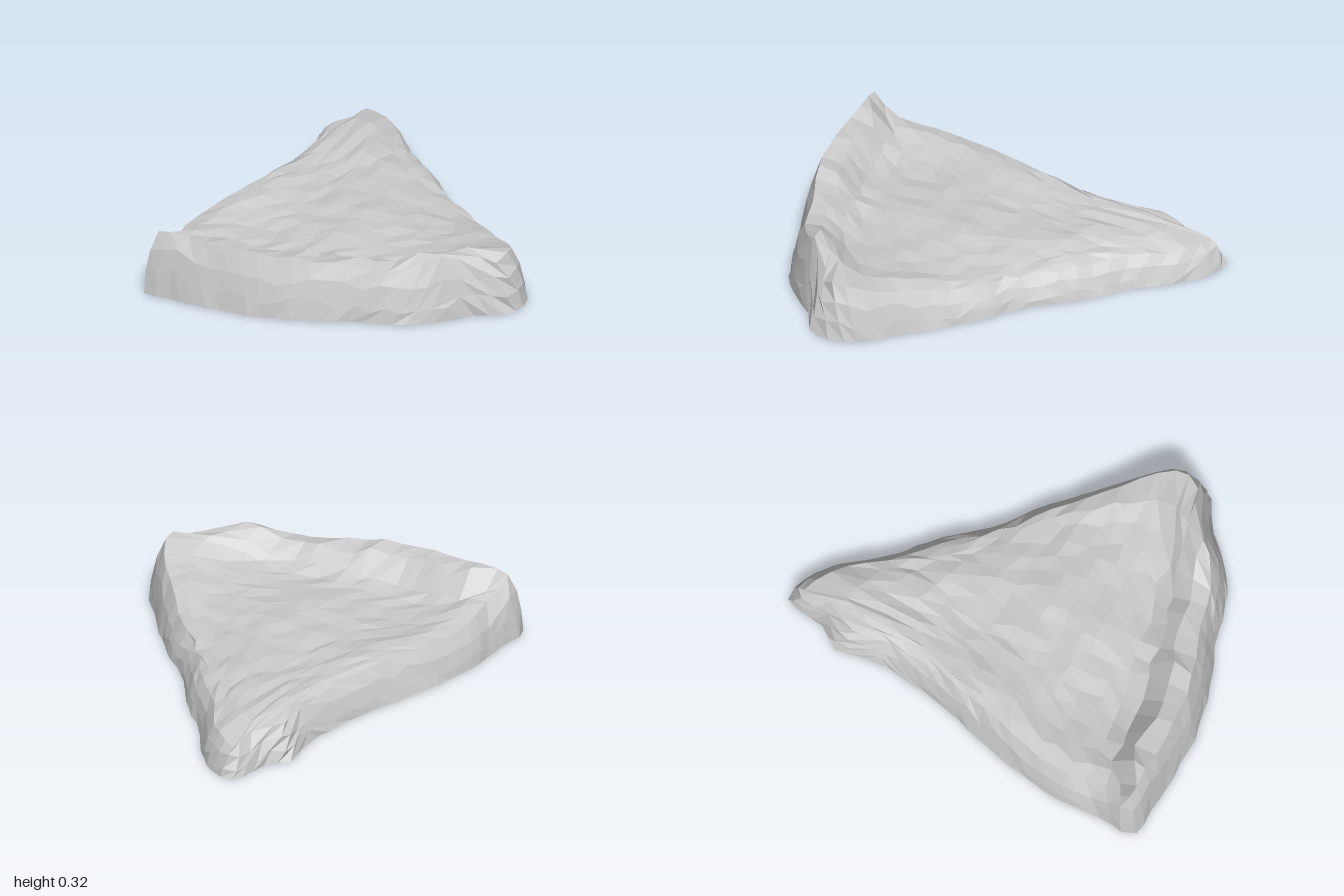
import * as THREE from 'three';

// Rim of the slab seen from above, counter-clockwise from the left tip:
// x, y = height of the crest there, z.
const RIM = [
  [-0.865, 0.29, 0.08], [-0.78, 0.335, 0.20], [-0.65, 0.325, 0.36], [-0.50, 0.31, 0.53],
  [-0.30, 0.31, 0.67], [-0.12, 0.28, 0.77], [0.00, 0.265, 0.86], [0.22, 0.315, 0.94],
  [0.45, 0.29, 0.96], [0.56, 0.29, 1.00], [0.69, 0.295, 0.93], [0.74, 0.27, 0.80],
  [0.755, 0.23, 0.65], [0.78, 0.17, 0.40], [0.79, 0.155, 0.20], [0.775, 0.15, 0.05],
  [0.815, 0.155, -0.25], [0.82, 0.16, -0.50], [0.865, 0.16, -0.75], [0.84, 0.155, -0.94],
  [0.80, 0.15, -1.00], [0.74, 0.16, -0.99], [0.60, 0.18, -0.90], [0.48, 0.18, -0.885],
  [0.36, 0.19, -0.74], [0.18, 0.19, -0.61], [0.00, 0.20, -0.51], [-0.20, 0.20, -0.41],
  [-0.40, 0.20, -0.31], [-0.60, 0.21, -0.18], [-0.72, 0.23, -0.05], [-0.83, 0.27, 0.02],
];

const HALF = 11; // rings from the middle to the foot
const INSETS = [0, 0.013, 0.036, 0.075]; // outer rings, measured from the foot
const CENTRE = new THREE.Vector3(0.2, 0, 0.08);
const { lerp, smoothstep } = THREE.MathUtils;

function seeded(seed) {
  return () => {
    seed = (seed * 16807) % 2147483647;
    return seed / 2147483647 - 0.5;
  };
}

// Fraction of the way round the square ring of half-width k for grid cell (i, j)
function ringFraction(i, j, k) {
  if (k === 0) return 0;
  let step;
  if (j === -k) step = i + k;
  else if (i === k) step = 2 * k + j + k;
  else if (j === k) step = 4 * k + k - i;
  else step = 6 * k + k - j;
  return (step / (8 * k)) % 1;
}

// Gently uneven top of the plate
function plateHeight(x, z) {
  return 0.186 + 0.012 * Math.sin(7 * x + 2 * z) * Math.cos(6 * z - 1) - 0.01 * Math.cos(2.5 * (z - 0.2));
}

// Rounded border rising to the crest, then falling away to the plate
function surfaceHeight(x, z, samples) {
  let nearest = Infinity;
  let crest = 0;
  for (const s of samples) {
    const d = Math.hypot(s.x - x, s.z - z);
    if (d < nearest) {
      nearest = d;
      crest = s.y;
    }
  }
  const steep = smoothstep(-x, 0.6, 0.8); // sheer at the left tip
  const t = Math.min(nearest / lerp(0.135, 0.09, steep), 1);
  const border = crest * (1 - (1 - t) ** 3);
  return lerp(border, plateHeight(x, z), smoothstep(nearest, 0.1, 0.3));
}

export function createModel() {
  const group = new THREE.Group();
  group.name = 'rockSlab';

  const rim = new THREE.CatmullRomCurve3(RIM.map((p) => new THREE.Vector3(...p)), true, 'centripetal');
  const samples = rim.getSpacedPoints(500);
  const random = seeded(71);

  // A square grid whose outer rings follow the rim
  const grid = new THREE.PlaneGeometry(2 * HALF, 2 * HALF, 2 * HALF, 2 * HALF);
  const pos = grid.attributes.position;
  const row = 2 * HALF + 1;
  const points = [];
  const inner = [];
  for (let n = 0; n < pos.count; n++) {
    const i = Math.round(pos.getX(n));
    const j = Math.round(pos.getY(n));
    const k = Math.max(Math.abs(i), Math.abs(j));
    const u = ringFraction(i, j, k);
    const p = rim.getPointAt(u);
    const tangent = rim.getTangentAt(u);
    const toCentre = CENTRE.clone().sub(p).setY(0).normalize();
    const ring = HALF - k;
    if (ring < INSETS.length) {
      const inward = new THREE.Vector3(tangent.z, 0, -tangent.x).normalize().add(toCentre).normalize();
      p.addScaledVector(inward, INSETS[ring]);
    } else {
      p.lerp(CENTRE, ring / HALF);
      inner.push(n);
    }
    points.push(p);
  }

  // Relax the inner points into an even mesh
  for (let pass = 0; pass < 250; pass++) {
    for (const n of inner) {
      points[n].set(0, 0, 0);
      for (const m of [n - 1, n + 1, n - row, n + row]) points[n].addScaledVector(points[m], 0.25);
    }
  }

  // Chip the surface, keeping the foot level
  const loose = new Set(inner);
  points.forEach((p, n) => {
    const foot = Math.max(Math.abs(pos.getX(n)), Math.abs(pos.getY(n))) > HALF - 0.5;
    const rough = loose.has(n) ? 0.04 : 0.012;
    const x = p.x + random() * rough;
    const z = p.z + random() * rough;
    const y = foot ? 0 : surfaceHeight(x, z, samples) + random() * 0.016;
    pos.setXYZ(n, x, y, z);
  });
  const geometry = grid.toNonIndexed();
  geometry.computeVertexNormals();

  // Open-bottomed shell
  const material = new THREE.MeshStandardMaterial({ color: 0xcccccc, flatShading: true, side: THREE.DoubleSide });
  const shell = new THREE.Mesh(geometry, material);
  shell.name = 'rockShell';
  group.add(shell);
  return group;
}
